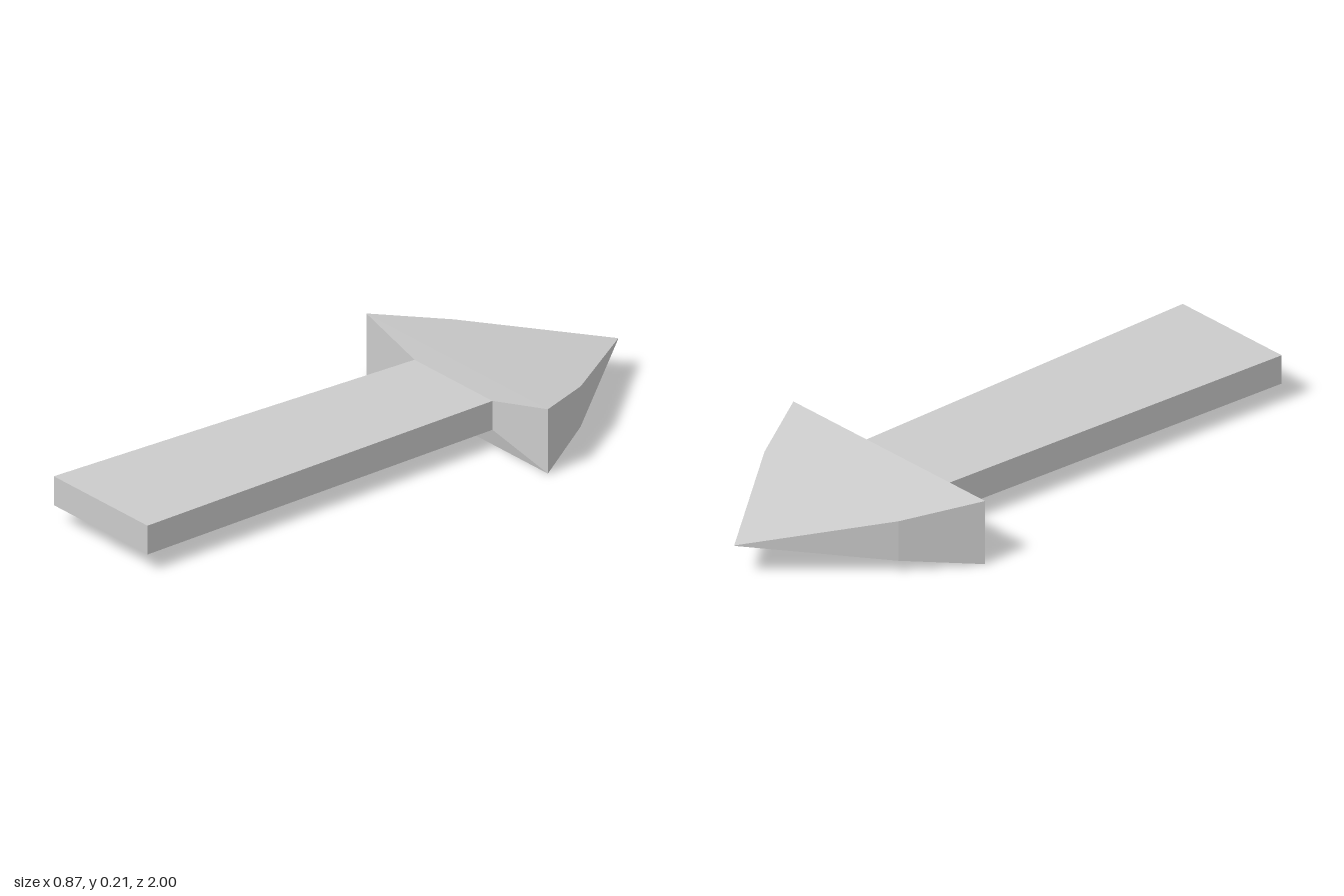
import * as THREE from 'three';

const MID_Y = 0.108;

// Lofts rectangular sections [z, halfWidth, halfHeight], ordered from front to back
function loft(name, sections) {
  const positions = [];
  const index = [];
  for (const [z, w, h] of sections) {
    positions.push(-w, -h, z, w, -h, z, w, h, z, -w, h, z);
  }
  for (let s = 0; s < sections.length - 1; s++) {
    for (let i = 0; i < 4; i++) {
      const j = (i + 1) % 4;
      const a = s * 4;
      const b = a + 4;
      index.push(a + i, b + i, a + j, a + j, b + i, b + j);
    }
  }
  // End caps
  const e = (sections.length - 1) * 4;
  index.push(0, 1, 2, 0, 2, 3, e, e + 2, e + 1, e, e + 3, e + 2);

  const indexed = new THREE.BufferGeometry();
  indexed.setAttribute('position', new THREE.Float32BufferAttribute(positions, 3));
  indexed.setIndex(index);
  const geometry = indexed.toNonIndexed();
  geometry.computeVertexNormals();
  const material = new THREE.MeshStandardMaterial({ color: 0xcccccc, flatShading: true });
  const mesh = new THREE.Mesh(geometry, material);
  mesh.name = name;
  mesh.position.y = MID_Y;
  return mesh;
}

export function createModel() {
  const group = new THREE.Group();
  group.name = 'arrow';

  // Flat shaft, narrowing toward the head
  group.add(loft('shaft', [
    [1, 0.225, 0.048],
    [-0.375, 0.187, 0.048],
  ]));

  // Wedge head: slightly bulged base, kinked sides, sharp tip
  group.add(loft('arrowhead', [
    [-0.364, 0.187, 0.048],
    [-0.378, 0.436, 0.107],
    [-0.61, 0.305, 0.067],
    [-1, 0.001, 0.001],
  ]));

  return group;
}
